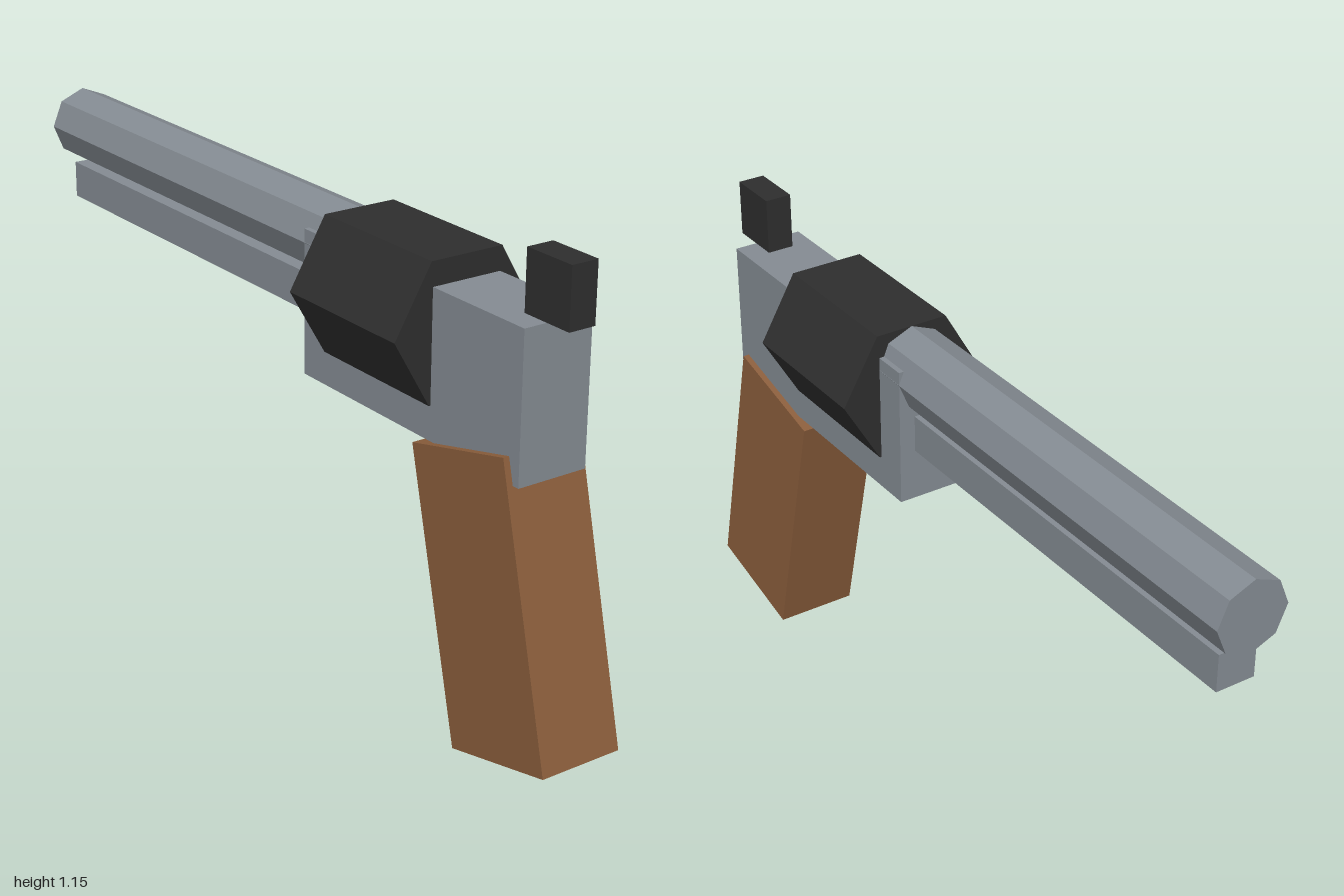
import * as THREE from 'three';

const flat = (name, color) => {
  const m = new THREE.MeshStandardMaterial({ color });
  m.name = name;
  m.flatShading = true;
  return m;
};

export function createModel() {
  const model = new THREE.Group();
  model.name = 'revolver';
  const steel = flat('steel', 0x848b92);
  const darkSteel = flat('darkSteel', 0x2e2e2e);
  const wood = flat('wood', 0x8b5e3c);

  const add = (name, geometry, material, y, z) => {
    const mesh = new THREE.Mesh(geometry, material);
    mesh.name = name;
    mesh.position.set(0, y, z);
    model.add(mesh);
    return mesh;
  };

  // Box given by its width and its y and z ranges
  const box = (name, material, width, y0, y1, z0, z1) =>
    add(name, new THREE.BoxGeometry(width, y1 - y0, z1 - z0), material, (y0 + y1) / 2, (z0 + z1) / 2);

  // Faceted prism lying along z
  const prism = (name, material, radius, sides, start, y, z0, z1) =>
    add(name, new THREE.CylinderGeometry(radius, radius, z1 - z0, sides, 1, false, start).rotateX(Math.PI / 2),
      material, y, (z0 + z1) / 2);

  // Body
  box('frame', steel, 0.174, 0.675, 1.014, 0.125, 0.87);
  box('hammer', darkSteel, 0.066, 1.015, 1.152, 0.805, 0.938);
  prism('drum', darkSteel, 0.182, 6, Math.PI / 2, 0.912, 0.208, 0.582);

  // Barrel and the rod beneath it
  prism('barrel', steel, 0.0875, 8, 0, 0.982, -1, 0.25);
  box('ejectorRod', steel, 0.095, 0.8, 0.89, -0.965, 0.13);

  // Handle, its foot leaning back
  const grip = add('grip', new THREE.BoxGeometry(0.204, 0.676, 0.304), wood, 0.37, 0.771);
  grip.rotation.x = -0.24;

  return model;
}
